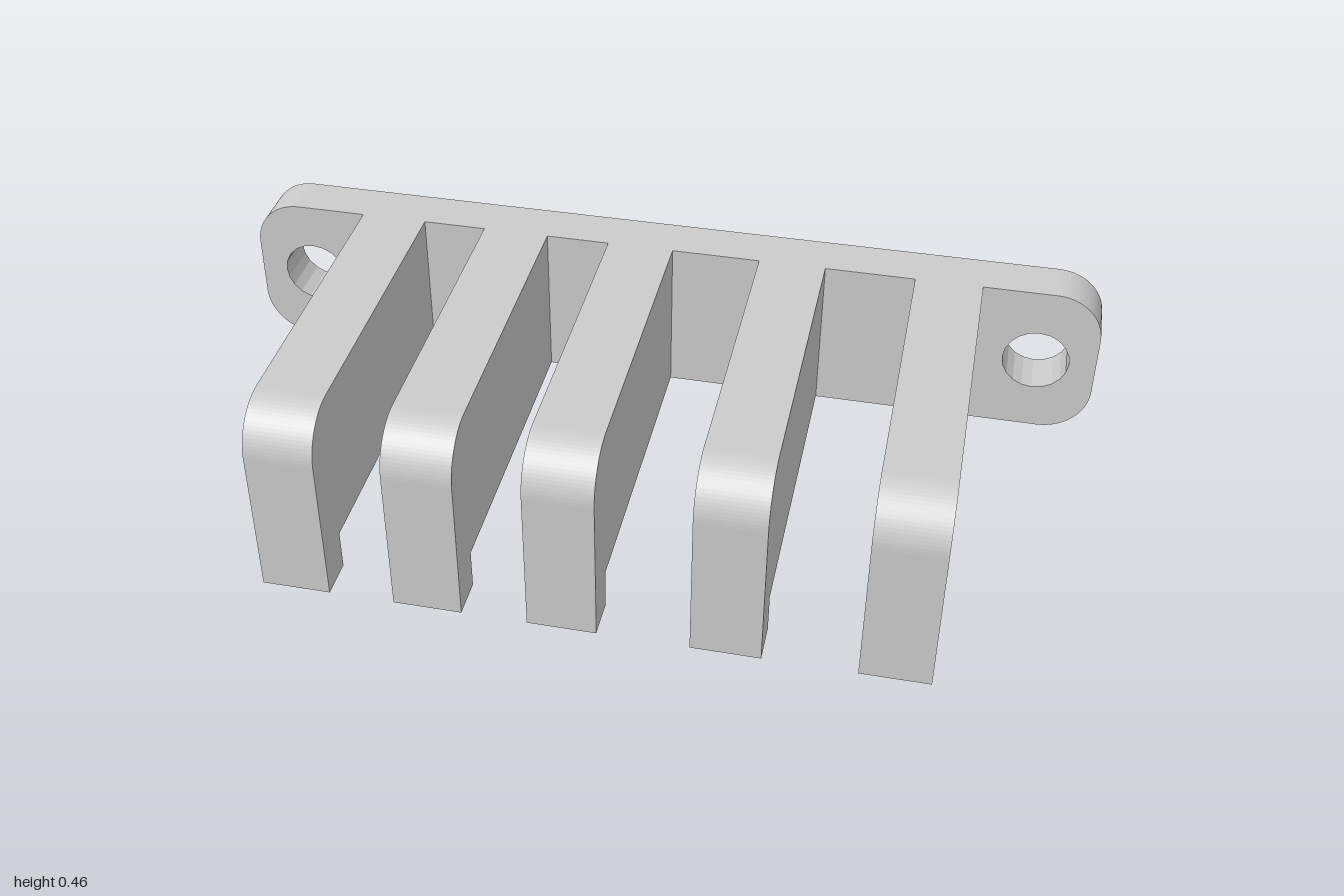
import * as THREE from 'three';

const BOTTOM = 0.093, TOP = 0.456, BACK = -0.455, FRONT = 0.455;
const PLATE_FRONT = -0.345, CORNER = 0.11;

function extrude(shape, depth) {
  return new THREE.ExtrudeGeometry(shape, { depth, bevelEnabled: false, curveSegments: 10 });
}

// Wall plate: rounded rectangle with a screw hole at each end
function plateGeometry() {
  const s = new THREE.Shape();
  const r = CORNER;
  s.absarc(1 - r, BOTTOM + r, r, -Math.PI / 2, 0);
  s.absarc(1 - r, TOP - r, r, 0, Math.PI / 2);
  s.absarc(-1 + r, TOP - r, r, Math.PI / 2, Math.PI);
  s.absarc(-1 + r, BOTTOM + r, r, Math.PI, Math.PI * 1.5);
  s.closePath();
  for (const side of [-1, 1]) {
    const hole = new THREE.Path();
    hole.absarc(side * 0.865, (BOTTOM + TOP) / 2, 0.075, 0, Math.PI * 2, true);
    s.holes.push(hole);
  }
  return extrude(s, PLATE_FRONT - BACK).translate(0, 0, BACK);
}

// Finger: side profile (z, y) with a rounded upper nose and a downward lip
function fingerGeometry(width) {
  const s = new THREE.Shape();
  s.moveTo(PLATE_FRONT, BOTTOM);
  s.lineTo(0.365, BOTTOM);
  s.lineTo(0.365, 0);
  s.lineTo(FRONT, 0);
  s.absarc(FRONT - CORNER, TOP - CORNER, CORNER, 0, Math.PI / 2);
  s.lineTo(PLATE_FRONT, TOP);
  s.closePath();
  return extrude(s, width).translate(0, 0, -width / 2).rotateY(-Math.PI / 2);
}

export function createModel() {
  const group = new THREE.Group();
  group.name = 'wallRack';
  const material = new THREE.MeshStandardMaterial({ color: 0xcccccc });

  const plate = new THREE.Mesh(plateGeometry(), material);
  plate.name = 'wallPlate';
  group.add(plate);

  // Fingers with uneven gaps
  const finger = fingerGeometry(0.152);
  [-0.652, -0.355, -0.058, 0.295, 0.65].forEach((x, i) => {
    const mesh = new THREE.Mesh(finger, material);
    mesh.name = `finger${i + 1}`;
    mesh.position.x = x;
    group.add(mesh);
  });
  return group;
}
